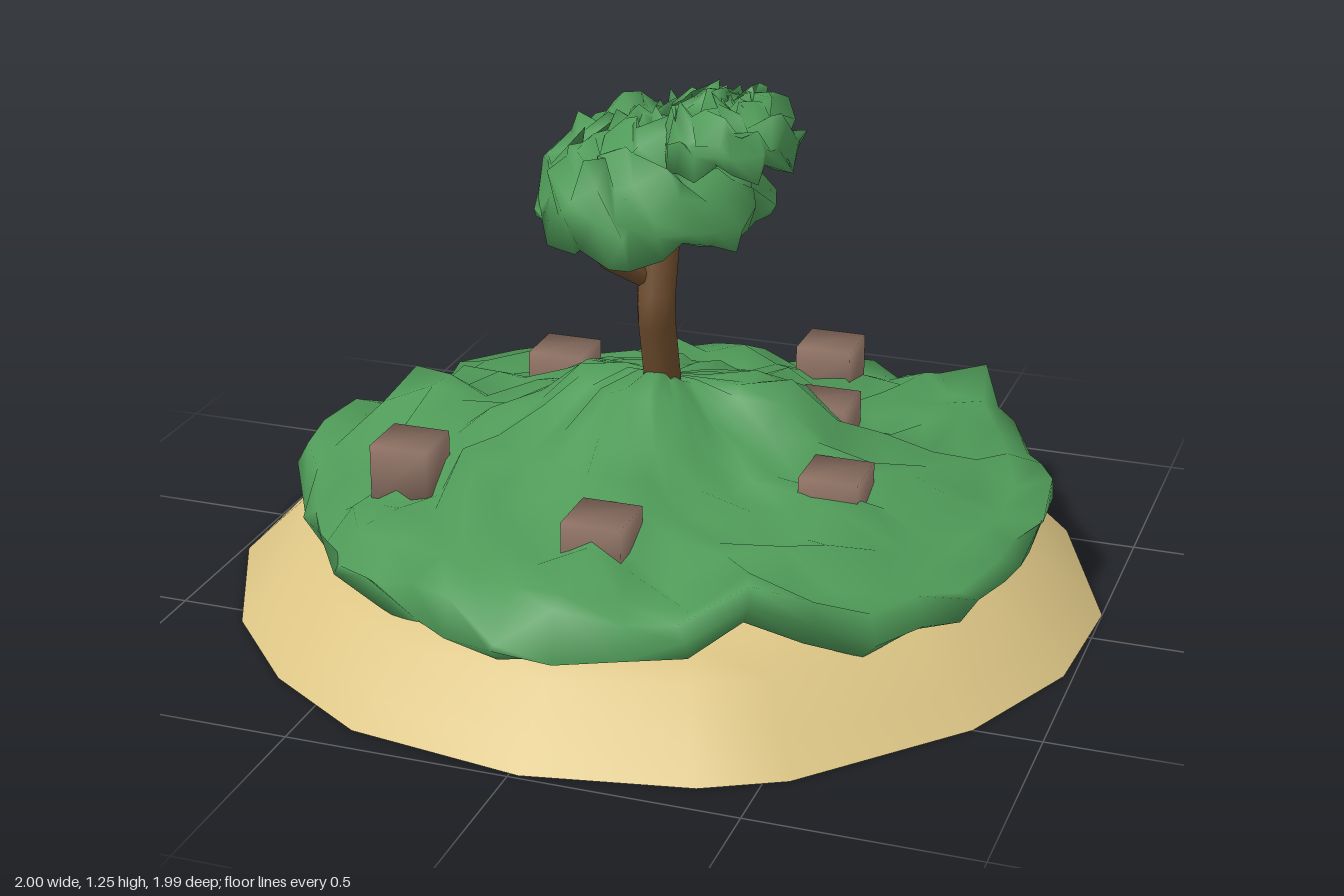
import * as THREE from 'three';
import { mergeVertices } from 'three/addons/utils/BufferGeometryUtils.js';

// seeded random in -1..1
function makeRandom(seed) {
  let s = seed;
  return () => {
    s = (s + 0x6d2b79f5) | 0;
    let t = Math.imul(s ^ (s >>> 15), 1 | s);
    t = (t + Math.imul(t ^ (t >>> 7), 61 | t)) ^ t;
    return ((t ^ (t >>> 14)) >>> 0) / 2147483648 - 1;
  };
}

// share vertices so the shading runs smoothly over every edge
function smooth(geometry) {
  geometry.deleteAttribute('normal');
  geometry.deleteAttribute('uv');
  const merged = mergeVertices(geometry, 1e-4);
  merged.computeVertexNormals();
  return merged;
}

// skin rings of one outline: profile rows are [scale, height, jitter], top to bottom;
// bumps are [x, z, height] and swell the surface locally
function mound(outline, profile, seed, bumps = []) {
  const random = makeRandom(seed);
  const n = outline.length, pos = [], idx = [];
  profile.forEach(([s, y, j = 0], i) => {
    outline.forEach(([x, z], k) => {
      const px = x * s + random() * j * 0.5, pz = z * s + random() * j * 0.5;
      let py = y + random() * j;
      for (const [bx, bz, h] of bumps) py += h * Math.exp(-((px - bx) ** 2 + (pz - bz) ** 2) / 0.01);
      pos.push(px, py, pz);
      if (i === profile.length - 1) return;
      const a = i * n + k, b = i * n + (k + 1) % n;
      if (s > 0) idx.push(a, b, a + n);
      if (profile[i + 1][0] > 0) idx.push(b, b + n, a + n);
    });
  });
  const g = new THREE.BufferGeometry();
  g.setAttribute('position', new THREE.Float32BufferAttribute(pos, 3));
  g.setIndex(idx);
  return smooth(g);
}

function circle(r, n) {
  return Array.from({ length: n }, (_, k) => {
    const a = (k / n) * Math.PI * 2;
    return [r * Math.cos(a), r * Math.sin(a)];
  });
}

// resample a closed outline to n points
function resample(points, n) {
  const curve = new THREE.CatmullRomCurve3(points.map(([x, z]) => new THREE.Vector3(x, 0, z)), true);
  return curve.getSpacedPoints(n).slice(0, n).map(p => [p.x, p.z]);
}

export function createModel() {
  const model = new THREE.Group();
  const mat = color => new THREE.MeshStandardMaterial({ color, side: THREE.DoubleSide });
  const sandMat = mat(0xdcc585), leafMat = mat(0x4f9a58), barkMat = mat(0x6b4a2b), rockMat = mat(0x8f7264);
  const add = (parent, name, geometry, material, x = 0, y = 0, z = 0) => {
    const mesh = new THREE.Mesh(geometry, material);
    mesh.name = name;
    mesh.position.set(x, y, z);
    parent.add(mesh);
  };

  // sand base with sloping shore and flat underside
  const shore = [
    [0.09, -0.995], [0.4, -0.92], [0.62, -0.78], [0.83, -0.54], [1, -0.12], [0.98, 0.2],
    [0.85, 0.5], [0.55, 0.83], [0.38, 0.92], [0.02, 0.99], [-0.38, 0.93], [-0.63, 0.77],
    [-0.83, 0.55], [-0.99, 0.2], [-1, -0.14], [-0.88, -0.45], [-0.7, -0.7], [-0.32, -0.96],
  ];
  add(model, 'sandBase', mound(shore, [
    [0, 0.23], [0.5, 0.22], [0.75, 0.2, 0.015], [0.84, 0.155, 0.015], [0.94, 0.06], [1, 0],
  ], 5), sandMat);
  add(model, 'sandUnderside', mound(shore, [[1, 0], [0, 0]], 1), sandMat);

  // lumpy grass hill with a ragged overhanging rim
  const rim = [
    [0.25, -0.83], [0.4, -0.78], [0.56, -0.67], [0.72, -0.5], [0.87, -0.2], [0.85, 0.12],
    [0.79, 0.35], [0.6, 0.58], [0.4, 0.72], [0.2, 0.81], [-0.04, 0.87], [-0.25, 0.78],
    [-0.43, 0.71], [-0.62, 0.57], [-0.75, 0.38], [-0.87, 0.08], [-0.8, -0.2], [-0.67, -0.52],
    [-0.42, -0.69], [-0.2, -0.77], [0.02, -0.79],
  ];
  const lumps = [
    [0.6, -0.57, 0.11], [0.42, 0.64, 0.1], [-0.64, -0.02, 0.12], [0.28, 0.02, 0.11],
    [0.04, 0.44, 0.07], [0.32, -0.23, -0.05], [0, 0.17, 0.075], [-0.2, 0.05, 0.05], [0.05, 0.72, 0.03],
  ];
  add(model, 'grassHill', mound(resample(rim, 40), [
    [0, 0.5], [0.11, 0.5, 0.01], [0.23, 0.465, 0.02], [0.35, 0.42, 0.025], [0.46, 0.38, 0.03],
    [0.57, 0.35, 0.035], [0.68, 0.325, 0.04], [0.79, 0.305, 0.045], [0.89, 0.275, 0.045],
    [0.97, 0.25, 0.045], [1, 0.215, 0.04], [0.96, 0.17, 0.025], [0.86, 0.155, 0.015],
  ], 77, lumps), leafMat);

  // square rocks half sunk in the grass
  const rocks = new THREE.Group();
  rocks.name = 'rocks';
  model.add(rocks);
  const rockSpots = [[0.22, -0.57], [-0.38, -0.325], [0.31, -0.215], [0.45, 0.175], [-0.505, 0.32], [0.045, 0.56]];
  for (const [x, z] of rockSpots) {
    add(rocks, 'rock', smooth(new THREE.BoxGeometry(0.135, 0.135, 0.135)), rockMat, x, 0.335, z);
  }

  // tree: kinked trunk and two branches
  const tree = new THREE.Group();
  tree.name = 'tree';
  model.add(tree);
  const limb = (name, radius, points) => {
    const curve = new THREE.CatmullRomCurve3(points.map(p => new THREE.Vector3(...p)), false, 'catmullrom', 0);
    add(tree, name, new THREE.TubeGeometry(curve, 10, radius, 8), barkMat);
  };
  limb('trunk', 0.045, [[0, 0.42, 0.02], [0, 0.7, 0.09], [0, 0.88, 0.045], [0, 1.03, 0.03]]);
  limb('lowBranch', 0.025, [[-0.02, 0.76, 0.08], [-0.085, 0.83, 0.17], [-0.1, 0.93, 0.22]]);
  limb('highBranch', 0.028, [[0, 0.93, 0.05], [0.17, 1, 0.075], [0.24, 1.13, 0.1]]);

  // leaf crowns: spiky domes, hollow underneath
  const crown = (name, r, n, h, jitter, seed, x, y, z) => add(tree, name, mound(circle(r, n), [
    [0, 0.66 * h], [0.13, 0.64 * h, jitter * 0.7], [0.27, 0.62 * h, jitter], [0.41, 0.57 * h, jitter],
    [0.55, 0.5 * h, jitter], [0.68, 0.41 * h, jitter], [0.8, 0.29 * h, jitter], [0.91, 0.12 * h, jitter],
    [0.99, -0.1 * h, jitter], [0.96, -0.32 * h, jitter], [0.78, -0.25 * h, jitter * 0.8],
    [0.5, 0, jitter * 0.5], [0, 0.1 * h],
  ], seed), leafMat, x, y, z);
  crown('largeCrown', 0.258, 28, 0.25, 0.05, 31, -0.015, 0.975, 0.07);
  crown('smallCrown', 0.153, 22, 0.135, 0.034, 913, 0.185, 1.135, 0.135);

  return model;
}
